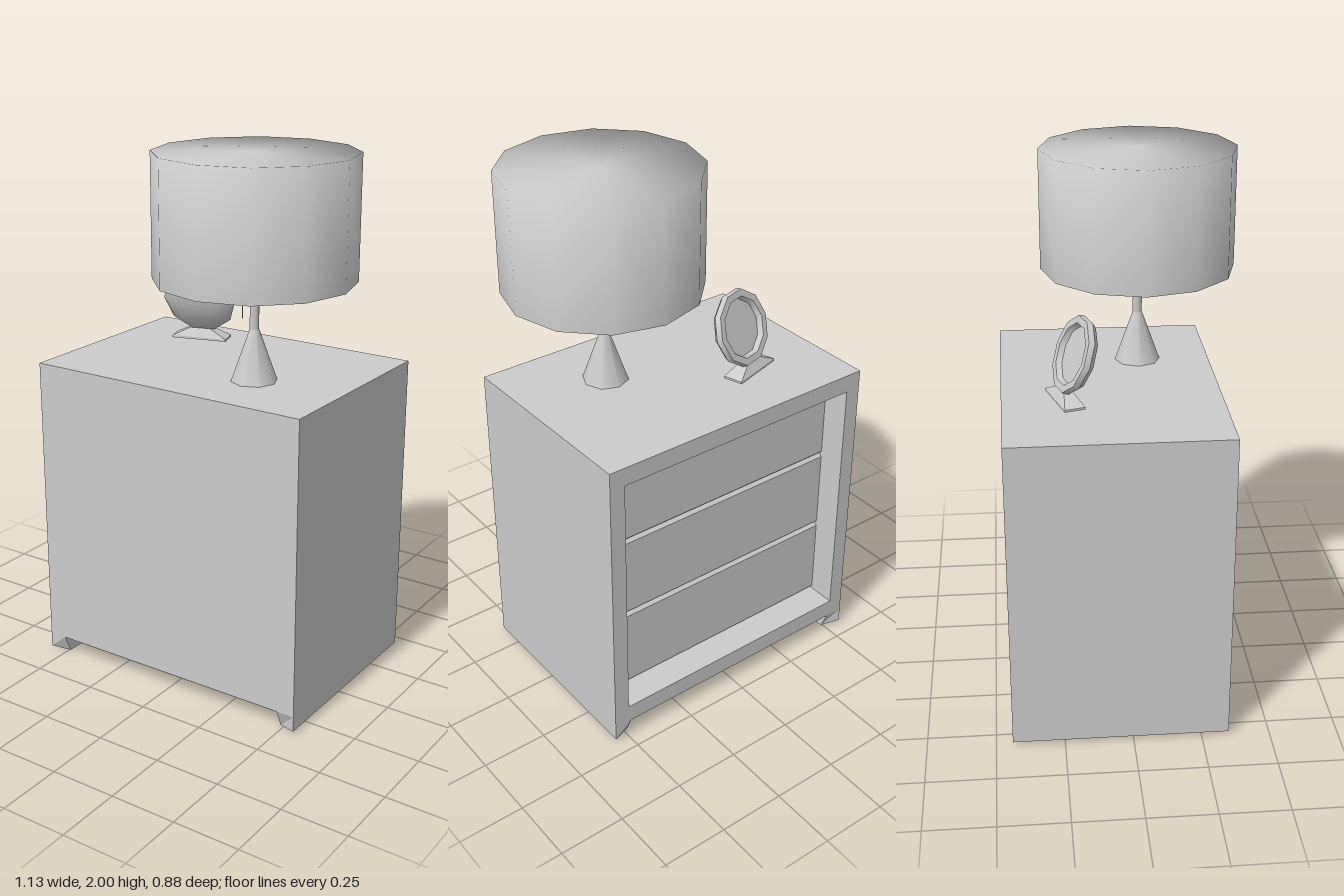
import * as THREE from 'three';
import { mergeVertices, toCreasedNormals } from 'three/addons/utils/BufferGeometryUtils.js';

const material = new THREE.MeshStandardMaterial({ color: 0xcccccc, side: THREE.DoubleSide });

function add(parent, name, geometry, x = 0, y = 0, z = 0) {
  const mesh = new THREE.Mesh(geometry, material);
  mesh.name = name;
  mesh.position.set(x, y, z);
  parent.add(mesh);
  return mesh;
}

// Moves every vertex by a rule, then refreshes the flat normals
function reshape(geometry, rule) {
  const g = geometry.toNonIndexed();
  const p = g.attributes.position;
  const v = new THREE.Vector3();
  for (let i = 0; i < p.count; i++) {
    v.fromBufferAttribute(p, i);
    rule(v);
    p.setXYZ(i, v.x, v.y, v.z);
  }
  g.computeVertexNormals();
  return g;
}

// Shares normals over all faces for a soft look
function soften(geometry) {
  geometry.deleteAttribute('normal');
  geometry.deleteAttribute('uv');
  const g = mergeVertices(geometry, 1e-4);
  g.computeVertexNormals();
  return g;
}

// Thin bar between two points
function rod(parent, name, a, b, radius, sides = 5) {
  const mesh = add(parent, name, new THREE.CylinderGeometry(radius, radius, a.distanceTo(b), sides));
  mesh.position.copy(a).add(b).multiplyScalar(0.5);
  mesh.quaternion.setFromUnitVectors(new THREE.Vector3(0, 1, 0), b.clone().sub(a).normalize());
}

function createCabinet() {
  const cabinet = new THREE.Group();
  cabinet.name = 'cabinet';
  const x0 = -0.565, x1 = 0.555, y0 = 0.07, y1 = 1.19, z0 = -0.44, z1 = 0.35;

  // Case with an opening towards the drawer side
  const outline = new THREE.Shape([[x0, y0], [x1, y0], [x1, y1], [x0, y1]].map(p => new THREE.Vector2(...p)));
  const hole = [[-0.505, 0.14], [-0.505, 1.12], [0.495, 1.12], [0.495, 0.14]];
  outline.holes.push(new THREE.Path(hole.map(p => new THREE.Vector2(...p))));
  add(cabinet, 'case', new THREE.ExtrudeGeometry(outline, { depth: z1 - z0 - 0.03, bevelEnabled: false }), 0, 0, z0);
  add(cabinet, 'closedPanel', new THREE.BoxGeometry(x1 - x0, y1 - y0, 0.03), (x0 + x1) / 2, (y0 + y1) / 2, z1 - 0.015);

  // Three recessed drawers with chamfered edges
  const h = 0.98 / 3, c = 0.012;
  const profile = new THREE.Shape([
    [0, 0], [0.4, 0], [0.4, h], [0, h], [-c, h - c], [-c, c],
  ].map(p => new THREE.Vector2(...p)));
  for (let i = 0; i < 3; i++) {
    const g = new THREE.ExtrudeGeometry(profile, { depth: 1, bevelEnabled: false });
    g.rotateY(-Math.PI / 2);
    add(cabinet, 'drawer', g, 0.495, 0.14 + i * h, -0.32);
  }

  // Runners along both sides, undercut on the outside
  for (const side of [-1, 1]) {
    const g = reshape(new THREE.BoxGeometry(0.07, 0.07, z1 - z0), v => {
      if (v.y > 0) return;
      if (v.x * side > 0) v.y += 0.012;
      else v.z -= Math.sign(v.z) * 0.03;
    });
    add(cabinet, 'runner', g, side < 0 ? x0 + 0.035 : x1 - 0.035, 0.035, (z0 + z1) / 2);
  }
  return cabinet;
}

function createLamp() {
  const lamp = new THREE.Group();
  lamp.name = 'lamp';
  lamp.position.set(0.205, 0, 0.08);
  add(lamp, 'lampFoot', new THREE.CylinderGeometry(0.017, 0.085, 0.19, 8), 0, 1.285, 0);
  add(lamp, 'lampPole', new THREE.CylinderGeometry(0.017, 0.017, 0.32, 8), 0, 1.52, 0);

  // Shade closed above and open below
  const shade = new THREE.LatheGeometry(
    [[0.36, 1.555], [0.36, 2], [0, 2]].map(p => new THREE.Vector2(...p)), 12);
  add(lamp, 'lampShade', soften(shade));

  // Struts from the pole to the shade
  for (let i = 0; i < 4; i++) {
    const a = i * Math.PI / 2;
    rod(lamp, 'shadeStrut', new THREE.Vector3(0, 1.64, 0),
      new THREE.Vector3(0.355 * Math.sin(a), 1.78, 0.355 * Math.cos(a)), 0.005);
  }
  // Pull cord
  rod(lamp, 'pullCordArm', new THREE.Vector3(0, 1.63, 0), new THREE.Vector3(0, 1.63, 0.078), 0.003);
  rod(lamp, 'pullCord', new THREE.Vector3(0, 1.435, 0.078), new THREE.Vector3(0, 1.63, 0.078), 0.002);
  return lamp;
}

function createMirror() {
  const mirror = new THREE.Group();
  mirror.name = 'tableMirror';
  mirror.position.set(-0.207, 0, -0.17);
  mirror.rotation.y = 0.285;

  // Domed back, raised rim and sunken glass
  const profile = [
    [0, -0.042], [0.08, -0.035], [0.125, -0.015], [0.142, 0.005],
    [0.138, 0.026], [0.112, 0.026], [0.104, 0.006], [0, 0.006],
  ].map(p => new THREE.Vector2(...p));
  const disc = toCreasedNormals(new THREE.LatheGeometry(profile, 10, Math.PI / 10), 0.72);
  add(mirror, 'mirrorDisc', disc, 0, 1.368, 0).rotation.x = -1.2;

  // Flared foot
  const foot = reshape(new THREE.BoxGeometry(0.215, 0.045, 0.075, 1, 2, 1), v => {
    if (v.y > 0.01) { v.x *= 0.3; v.z *= 0.4; }
    else if (v.y > -0.01) v.y = -0.014;
  });
  add(mirror, 'mirrorFoot', foot, -0.005, 1.233, -0.048);
  return mirror;
}

export function createModel() {
  const model = new THREE.Group();
  model.name = 'cabinetWithLampAndMirror';
  model.add(createCabinet(), createLamp(), createMirror());
  return model;
}
